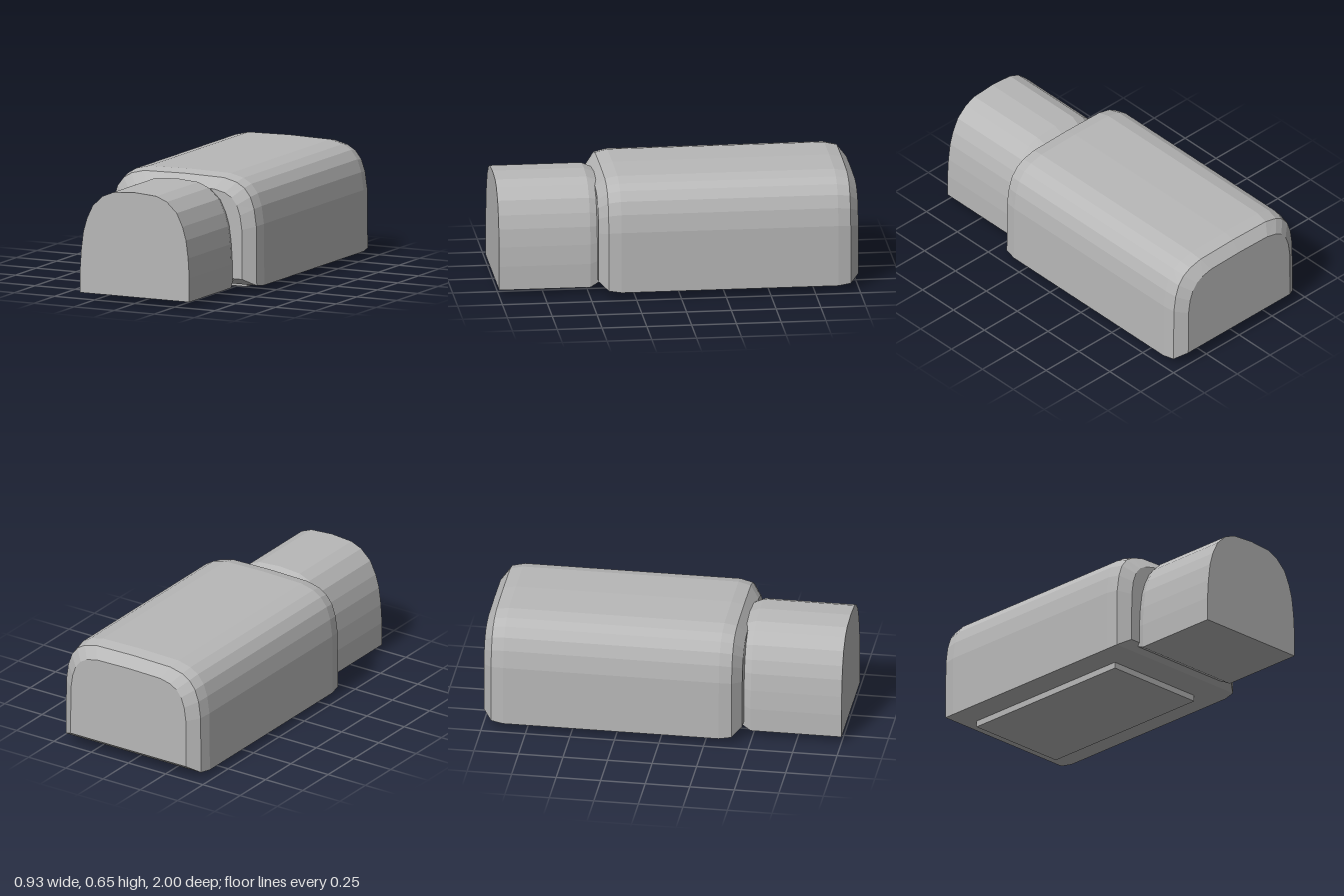
import * as THREE from 'three';

// Mirror half an outline (bottom corner up to the top centre) into a closed loop.
function closedOutline(half) {
  const mirrored = half.slice(0, -1).reverse().map(([x, y]) => [-x, y]);
  return [...half, ...mirrored];
}

// Loft an outline along z, front to back. Each ring: [z, width scale, bottom y, top y].
function loft(half, rings) {
  const outline = closedOutline(half);
  const n = outline.length;
  const low = half[0][1];
  const high = half[half.length - 1][1];
  const positions = [];
  const index = [];

  for (const [z, scale, bottom, top] of rings) {
    for (const [x, y] of outline) {
      positions.push(x * scale, bottom + ((y - low) / (high - low)) * (top - bottom), z);
    }
  }
  // Side walls
  for (let r = 0; r < rings.length - 1; r++) {
    for (let i = 0; i < n; i++) {
      const j = (i + 1) % n;
      const a = r * n + i, b = r * n + j, c = a + n, d = b + n;
      index.push(a, c, b, b, c, d);
    }
  }
  // Flat ends
  const last = (rings.length - 1) * n;
  for (let i = 1; i < n - 1; i++) {
    index.push(0, i, i + 1);
    index.push(last, last + i + 1, last + i);
  }

  const geometry = new THREE.BufferGeometry();
  geometry.setAttribute('position', new THREE.Float32BufferAttribute(positions, 3));
  geometry.setIndex(index);
  const faceted = geometry.toNonIndexed();
  faceted.computeVertexNormals();
  return faceted;
}

export function createModel() {
  const group = new THREE.Group();
  group.name = 'capsuleHousing';
  const grey = new THREE.MeshStandardMaterial({ color: 0xb8b8b8, flatShading: true });
  grey.name = 'grey';

  const add = (name, geometry) => {
    const mesh = new THREE.Mesh(geometry, grey);
    mesh.name = name;
    group.add(mesh);
    return mesh;
  };

  // Main housing: domed section with bevelled ends
  const bodyHalf = [
    [0.465, 0.035], [0.462, 0.38], [0.448, 0.48], [0.424, 0.55],
    [0.385, 0.6], [0.335, 0.63], [0.255, 0.65], [0, 0.655],
  ];
  add('mainBody', loft(bodyHalf, [
    [0.45, 0.835, 0.08, 0.58],
    [0.4, 0.975, 0.043, 0.64],
    [0.33, 1, 0.035, 0.655],
    [-0.88, 1, 0.035, 0.655],
    [-0.95, 0.975, 0.043, 0.64],
    [-1, 0.835, 0.08, 0.58],
  ]));

  // Narrower front section, tapering where it enters the housing
  const noseHalf = [
    [0.34, 0.035], [0.34, 0.17], [0.333, 0.28], [0.32, 0.38], [0.298, 0.455],
    [0.262, 0.53], [0.2, 0.588], [0.135, 0.615], [0, 0.625],
  ];
  add('frontSection', loft(noseHalf, [
    [1, 1, 0.035, 0.625],
    [0.49, 1, 0.035, 0.625],
    [0.42, 0.93, 0.07, 0.595],
  ]));

  // Base pad under the housing
  const pad = add('basePad', new THREE.BoxGeometry(0.62, 0.045, 1.09));
  pad.position.set(0, 0.0225, -0.305);

  return group;
}
